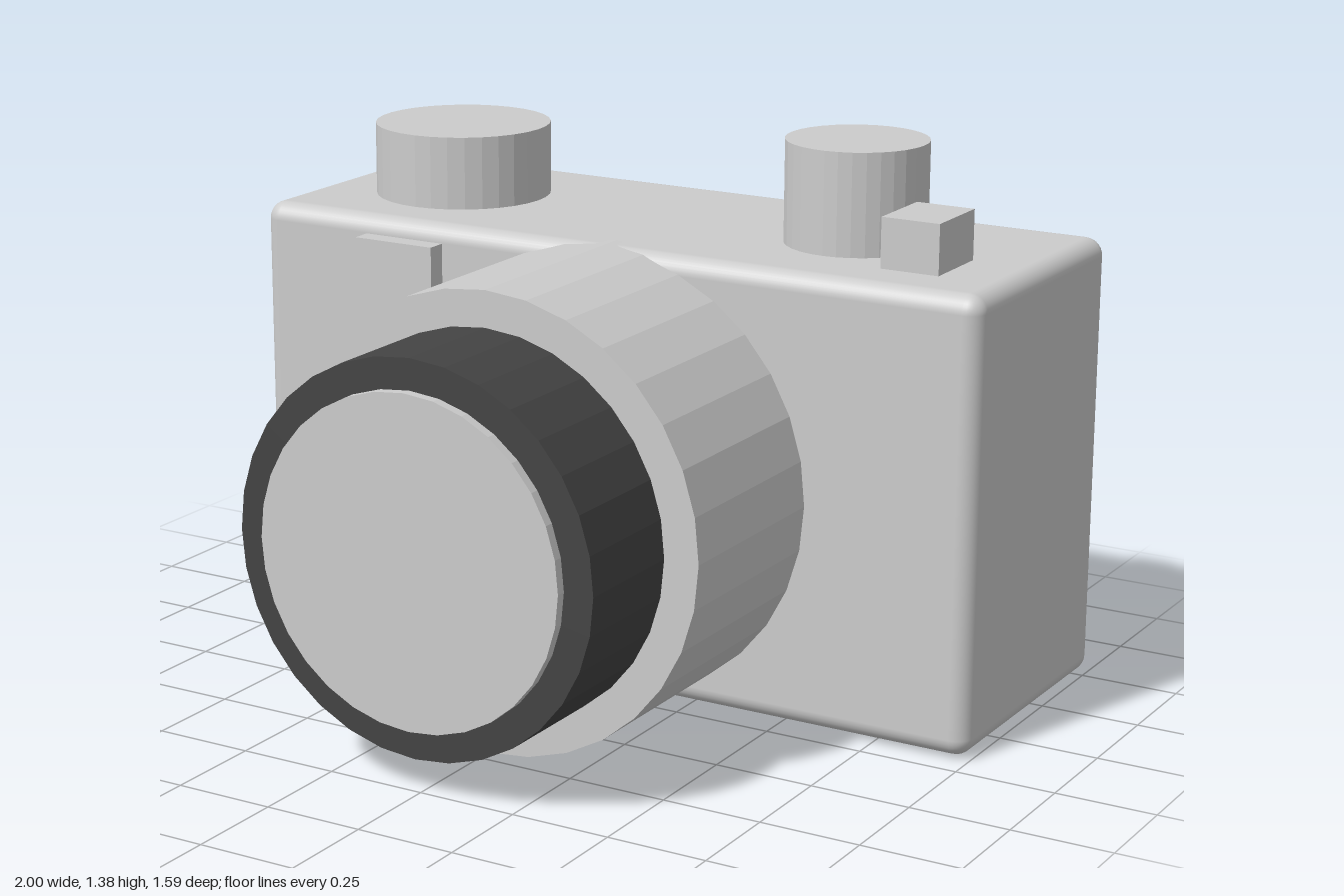
import * as THREE from 'three';
import { RoundedBoxGeometry } from 'three/addons/geometries/RoundedBoxGeometry.js';

export function createModel() {
  const group = new THREE.Group();

  const smooth = new THREE.MeshStandardMaterial({ color: 0xcccccc });
  smooth.name = 'light grey';
  const dark = new THREE.MeshStandardMaterial({ color: 0x444444 });
  dark.name = 'dark grey';

  const add = (name, geometry, material, x, y, z) => {
    const mesh = new THREE.Mesh(geometry, material);
    mesh.name = name;
    mesh.position.set(x, y, z);
    group.add(mesh);
    return mesh;
  };

  // Faceted cylinder: normals are baked per face so the colour material is shared
  const drum = (radius, length) => {
    const g = new THREE.CylinderGeometry(radius, radius, length, 32).toNonIndexed();
    g.computeVertexNormals();
    return g;
  };

  // Lens sections run along z, dials stand on the top plate
  const lensSection = (name, radius, z0, z1, material) =>
    add(name, drum(radius, z1 - z0).rotateX(Math.PI / 2), material, 0, 0.564, (z0 + z1) / 2);
  const dial = (name, radius, top, x) =>
    add(name, drum(radius, top - 1.08), smooth, x, (top + 1.08) / 2, -0.42);

  // Box given by its extents
  const block = (name, x0, x1, y0, y1, z0, z1) =>
    add(name, new THREE.BoxGeometry(x1 - x0, y1 - y0, z1 - z0), smooth,
      (x0 + x1) / 2, (y0 + y1) / 2, (z0 + z1) / 2);

  // Camera body with softly rounded edges
  add('body', new RoundedBoxGeometry(2, 1.12, 0.745, 4, 0.045), smooth, 0, 0.566, -0.4225);

  // Lens
  lensSection('lensBarrel', 0.564, -0.13, 0.46, smooth);
  lensSection('focusRing', 0.475, 0.4, 0.77, dark);
  lensSection('frontGlass', 0.4, 0.7, 0.795, smooth);

  // Top controls
  dial('largeDial', 0.225, 1.31, -0.63);
  dial('smallDial', 0.175, 1.38, 0.5);
  block('shutterLever', 0.675, 0.825, 1.09, 1.25, -0.39, -0.2);

  // Viewfinder window on the front
  block('viewfinder', -0.68, -0.455, 0.93, 1.08, -0.12, 0);

  return group;
}
